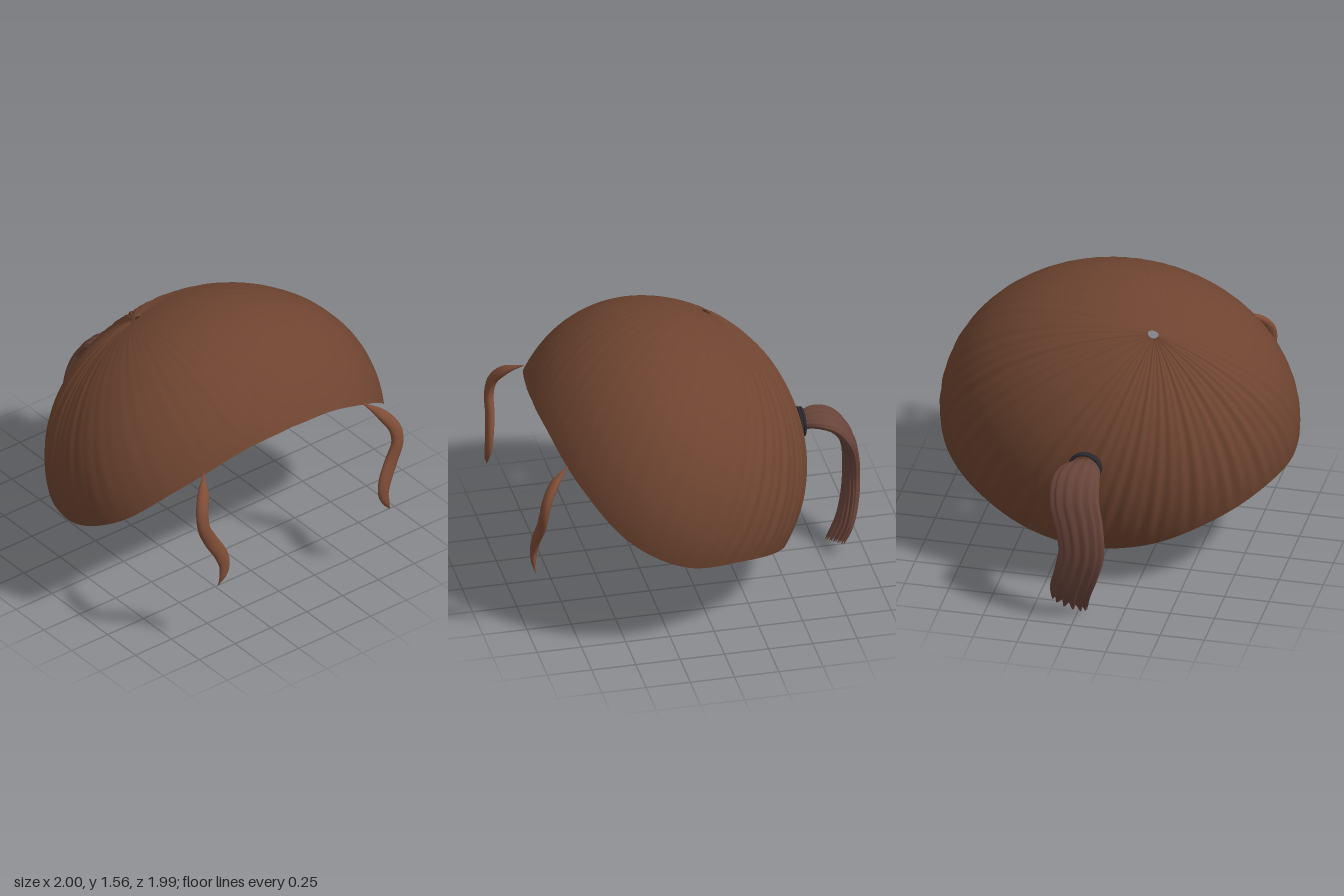
import * as THREE from 'three';

const mat = (color) => new THREE.MeshStandardMaterial({ color, side: THREE.DoubleSide });
const capMat = mat(0x6e4430), lockMat = mat(0x7e4c36), tailMat = mat(0x68443a), bandMat = mat(0x2a2a2e);

// Smooth surface from rings of points; each ring closes on itself
function ringSurface(rings, sides, pointAt) {
  const pos = [], idx = [];
  for (let i = 0; i <= rings; i++) {
    for (let j = 0; j < sides; j++) {
      pos.push(...pointAt(i / rings, (j / sides) * Math.PI * 2).toArray());
      if (i === rings) continue;
      const k = (j + 1) % sides;
      const a = i * sides + j, b = i * sides + k, c = b + sides, d = a + sides;
      idx.push(a, b, c, a, c, d);
    }
  }
  const geo = new THREE.BufferGeometry();
  geo.setAttribute('position', new THREE.Float32BufferAttribute(pos, 3));
  geo.setIndex(idx);
  geo.computeVertexNormals();
  return geo;
}

// Flattened tapering tube. Each station is [x, y, z, half width, half thickness]
function loft(stations, rings, sides, rib = () => 1, stretch = () => 0) {
  const path = new THREE.CatmullRomCurve3(stations.map((s) => new THREE.Vector3(s[0], s[1], s[2])));
  const size = new THREE.SplineCurve(stations.map((s) => new THREE.Vector2(s[3], s[4])));
  return ringSurface(rings, sides, (s, a) => {
    const t = path.getTangent(s), r = size.getPoint(s);
    const side = new THREE.Vector3(1, 0, 0).addScaledVector(t, -t.x).normalize();
    const depth = new THREE.Vector3().crossVectors(t, side);
    const k = rib(s, a);
    return path.getPoint(s)
      .addScaledVector(side, Math.cos(a) * Math.max(r.x, 0.002) * k)
      .addScaledVector(depth, Math.sin(a) * Math.max(r.y, 0.002) * k)
      .addScaledVector(t, stretch(s, a));
  });
}

// Hair cap: strands run over an ellipsoid from the crown to a sloping rim
function capGeometry() {
  const heights = [0.54, 0.49, 0.31, 0.04, -0.13, -0.19, -0.32, -0.47, -0.53];
  const rim = new THREE.SplineCurve(heights.map((h, i) => new THREE.Vector2(i, h)));
  const crown = new THREE.Vector3(-0.28, 0.846, -0.453).normalize();
  return ringSurface(44, 400, (s, a) => {
    const az = a > Math.PI ? 2 * Math.PI - a : a;
    const h = rim.getPoint(az / Math.PI).y, w = Math.sqrt(1 - h * h);
    const end = new THREE.Vector3(-Math.sin(a) * w, h, Math.cos(a) * w);
    const v = 0.018 + 0.982 * s, ang = crown.angleTo(end);
    const p = crown.clone().multiplyScalar(Math.sin((1 - v) * ang))
      .addScaledVector(end, Math.sin(v * ang)).divideScalar(Math.sin(ang));
    // combed ridges, strongest at the back
    const back = 0.12 + 0.88 * THREE.MathUtils.smoothstep(-Math.cos(a), -0.5, 0.6);
    const wave = 0.6 * Math.sin(61 * a + 0.6 * Math.sin(3 * a)) + 0.4 * Math.sin(38 * a + 1 + v);
    p.multiplyScalar(1 + 0.011 * back * wave * Math.sqrt(v) * (1 - v ** 8));
    return new THREE.Vector3(p.x, 0.7 + 0.87 * p.y, 0.2 + p.z * (p.z > 0 ? 0.78 : 0.86));
  });
}

export function createModel() {
  const group = new THREE.Group();
  const add = (name, geo, material, x = 0, y = 0, z = 0) => {
    const m = new THREE.Mesh(geo, material);
    m.name = name;
    m.position.set(x, y, z);
    group.add(m);
    return m;
  };

  add('hairCap', capGeometry(), capMat);

  // Curved locks framing the face
  for (const [name, f] of [['leftFrontLock', 1], ['rightFrontLock', -1]]) {
    const stations = [
      [0.55, 1.06, 0.78, 0.003, 0.003], [0.62, 1.0, 0.87, 0.032, 0.022],
      [0.67, 0.92, 0.925, 0.038, 0.026], [0.675, 0.83, 0.945, 0.038, 0.026],
      [0.63, 0.73, 0.95, 0.042, 0.025], [0.575, 0.63, 0.965, 0.042, 0.023],
      [0.555, 0.55, 0.975, 0.034, 0.02], [0.57, 0.49, 0.98, 0.022, 0.014],
      [0.6, 0.43, 0.975, 0.002, 0.002],
    ].map(([x, ...rest]) => [x * f, ...rest]);
    add(name, loft(stations, 48, 20), lockMat);
  }

  // Ponytail: ribbed flat tail ending in a ragged fringe
  const tail = [
    [0, 0.82, -0.62, 0.05, 0.035], [0, 0.835, -0.67, 0.075, 0.036],
    [0.005, 0.85, -0.74, 0.11, 0.038], [0.015, 0.825, -0.83, 0.135, 0.04],
    [0.01, 0.74, -0.9, 0.14, 0.04], [-0.03, 0.6, -0.945, 0.135, 0.038],
    [-0.045, 0.45, -0.957, 0.128, 0.037], [-0.01, 0.3, -0.94, 0.122, 0.036],
    [0.03, 0.17, -0.9, 0.115, 0.034], [0.045, 0.075, -0.85, 0.1, 0.03],
  ];
  const rib = (s, a) => 1 + (0.05 + 0.1 * s * s) * Math.cos(14 * a) * Math.abs(Math.sin(a));
  const fringe = (s, a) => Math.max(0, (s - 0.86) / 0.14) * (0.022 * Math.cos(14 * a) - 0.035 * Math.cos(a));
  add('ponytail', loft(tail, 70, 112, rib, fringe), tailMat);

  // Hair band and the gathered knots under it, inside the cap
  [-0.652, -0.668].forEach((z, i) => {
    const band = add('hairBand', new THREE.TorusGeometry(0.075, 0.009, 10, 40), bandMat, 0, 0.828, z);
    band.scale.x = 1.12;
    band.rotation.z = i * 0.3;
  });
  for (const f of [-1, 1]) {
    add('innerKnot', new THREE.SphereGeometry(0.024, 16, 12), tailMat, f * 0.036, 0.825, -0.625);
  }
  return group;
}
